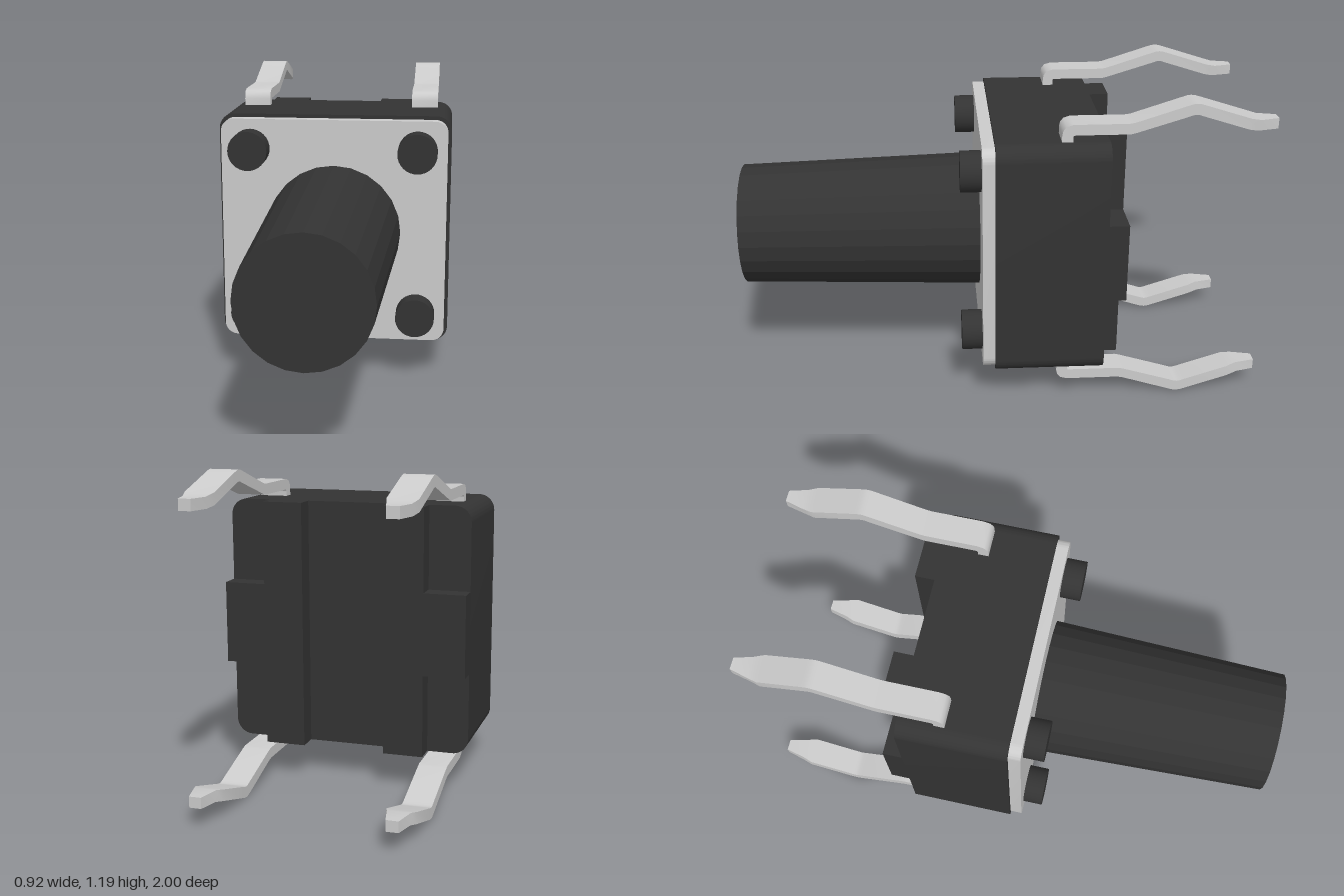
import * as THREE from 'three';
import { toCreasedNormals } from 'three/addons/utils/BufferGeometryUtils.js';

const dark = new THREE.MeshStandardMaterial({ color: 0x333333 });
const darkFlat = new THREE.MeshStandardMaterial({ color: 0x333333, flatShading: true });
const metal = new THREE.MeshStandardMaterial({ color: 0xcccccc });

// Square with rounded corners, extruded from z0 to z1
function roundedSlab(half, r, z0, z1) {
  const s = new THREE.Shape();
  const c = half - r;
  s.absarc(c, c, r, 0, Math.PI / 2);
  s.absarc(-c, c, r, Math.PI / 2, Math.PI);
  s.absarc(-c, -c, r, Math.PI, Math.PI * 1.5);
  s.absarc(c, -c, r, Math.PI * 1.5, Math.PI * 2);
  s.closePath();
  const g = new THREE.ExtrudeGeometry(s, { depth: z1 - z0, bevelEnabled: false, curveSegments: 8 });
  g.translate(0, 0, z0);
  return toCreasedNormals(g, 0.6);
}

// Cylinder along z, from z0 (radius r0) to z1 (radius r1)
function rod(r0, r1, z0, z1, sides) {
  const g = new THREE.CylinderGeometry(r1, r0, z1 - z0, sides);
  g.rotateX(Math.PI / 2);
  g.translate(0, 0, (z0 + z1) / 2);
  return g;
}

// Bent metal strip: each station is outer z, outer y, inner z, inner y, half width
function pinGeometry() {
  const w = 0.053;
  const stations = [
    [-0.21, 0.43, -0.25, 0.43, w],
    [-0.21, 0.487, -0.25, 0.477, w],
    [-0.214, 0.503, -0.251, 0.481, w],
    [-0.225, 0.517, -0.254, 0.484, w],
    [-0.25, 0.525, -0.26, 0.485, w],
    [-0.45, 0.525, -0.457, 0.485, w],
    [-0.47, 0.528, -0.477, 0.49, w],
    [-0.655, 0.587, -0.66, 0.546, w],
    [-0.675, 0.593, -0.678, 0.552, w],
    [-0.69, 0.595, -0.69, 0.554, w],
    [-0.705, 0.593, -0.702, 0.552, w],
    [-0.725, 0.587, -0.72, 0.546, w],
    [-0.89, 0.535, -0.885, 0.494, w],
    [-0.93, 0.525, -0.92, 0.485, 0.041],
    [-1, 0.525, -1, 0.485, 0.022],
  ];
  const rings = stations.map(([zo, yo, zi, yi, h]) => [
    [-h, yo, zo], [h, yo, zo], [h, yi, zi], [-h, yi, zi],
  ]);
  const pos = [];
  const quad = (a, b, c, d) => pos.push(...a, ...b, ...c, ...a, ...c, ...d);
  for (let i = 0; i < rings.length - 1; i++) {
    const p = rings[i], q = rings[i + 1];
    for (let k = 0; k < 4; k++) {
      const n = (k + 1) % 4;
      quad(p[k], p[n], q[n], q[k]);
    }
  }
  const first = rings[0], last = rings[rings.length - 1];
  quad(first[3], first[2], first[1], first[0]);
  quad(last[0], last[1], last[2], last[3]);
  const g = new THREE.BufferGeometry();
  g.setAttribute('position', new THREE.Float32BufferAttribute(pos, 3));
  return toCreasedNormals(g, 0.6);
}

export function createModel() {
  const model = new THREE.Group();
  model.name = 'pushButtonSwitch';
  const core = new THREE.Group();
  core.name = 'switchAssembly';
  core.position.y = 0.595;
  model.add(core);

  const add = (name, geometry, material, x = 0, y = 0, z = 0) => {
    const m = new THREE.Mesh(geometry, material);
    m.name = name;
    m.position.set(x, y, z);
    core.add(m);
    return m;
  };

  // Housing, cover plate and tapered plunger
  add('housing', roundedSlab(0.46, 0.06, -0.385, 0.03), dark);
  add('coverPlate', roundedSlab(0.446, 0.05, 0.03, 0.077), metal);
  add('plunger', rod(0.266, 0.235, 0.07, 1, 24), darkFlat);

  const peg = rod(0.077, 0.077, 0.07, 0.155, 32);
  const pin = pinGeometry();
  for (const sx of [-1, 1]) {
    // Raised rails and side tabs on the back
    add('backRail', new THREE.BoxGeometry(0.15, 0.92, 0.085), dark, sx * 0.23, 0, -0.4175);
    add('backTab', new THREE.BoxGeometry(0.155, 0.305, 0.085), dark, sx * 0.3825, 0, -0.4175);
    for (const sy of [-1, 1]) {
      add('cornerPeg', peg, dark, sx * 0.33, sy * 0.33, 0);
      // Pins leave the top and bottom; the lower ones are turned over
      const leg = add('pin', pin, metal, sx * 0.347, 0, 0);
      if (sy < 0) leg.rotation.z = Math.PI;
    }
  }
  return model;
}
